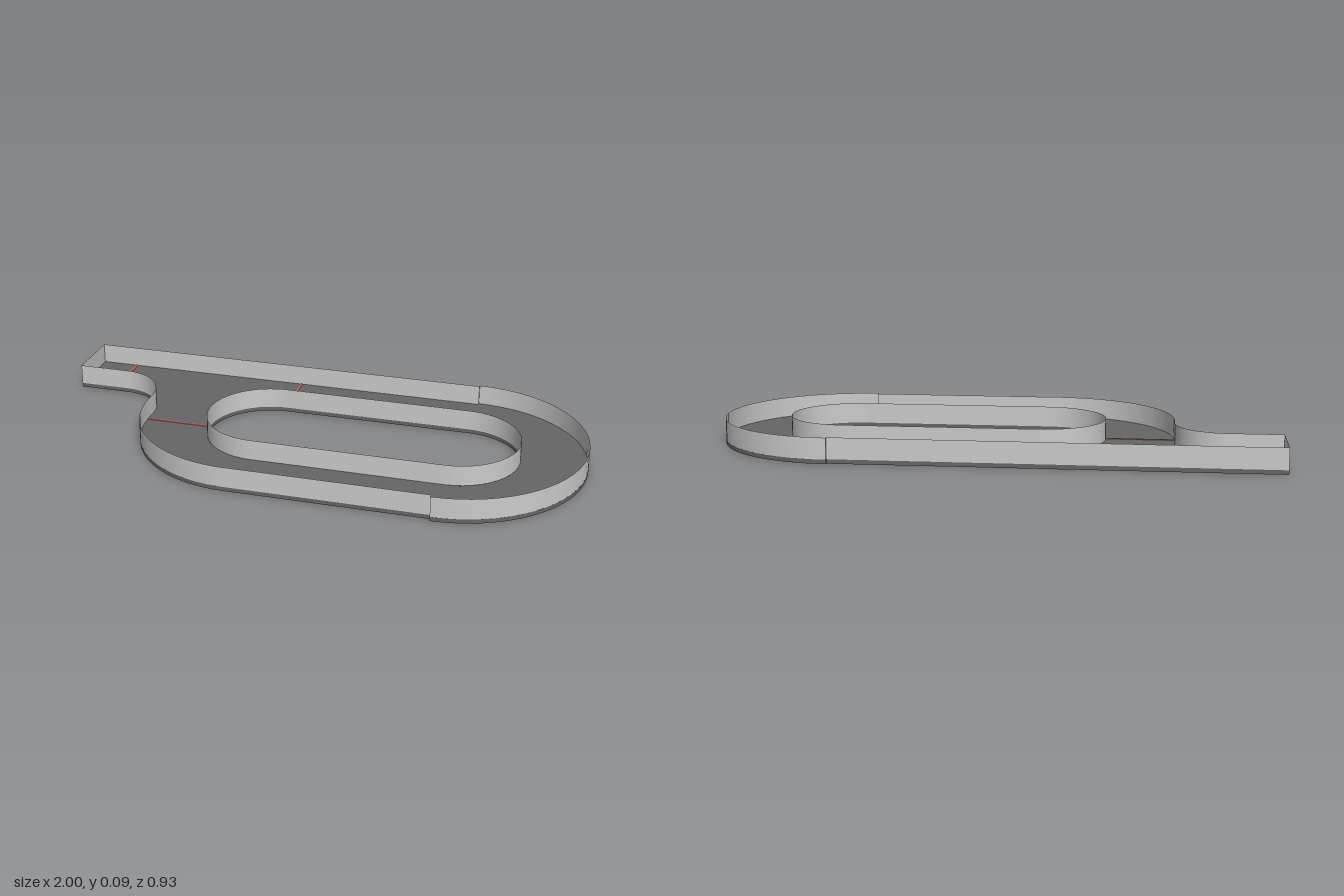
import * as THREE from 'three';
import { mergeGeometries, toCreasedNormals } from 'three/addons/utils/BufferGeometryUtils.js';

const FLOOR = 0.015, TOP = 0.09;

// Plan of the track, drawn as (x, z).
function outerPath() {
  const s = new THREE.Shape();
  s.moveTo(-1, -0.455);
  s.lineTo(0.535, -0.455);
  s.absarc(0.535, 0, 0.463, -Math.PI / 2, Math.PI / 2, false);
  s.lineTo(0.535, 0.45);
  s.lineTo(-0.18, 0.45);
  s.absarc(-0.18, 0, 0.45, Math.PI / 2, Math.PI, false);
  s.lineTo(-0.63, -0.05);
  s.absarc(-0.81, -0.05, 0.18, 0, -Math.PI / 2, true);
  s.lineTo(-1, -0.23);
  s.closePath();
  return s;
}

function innerPath() {
  const p = new THREE.Path();
  p.absarc(0.535, 0, 0.227, -Math.PI / 2, Math.PI / 2, false);
  p.absarc(-0.158, 0, 0.227, Math.PI / 2, Math.PI * 1.5, false);
  p.closePath();
  return p;
}

// Thin upright wall following a path, smooth along each curve.
function wallGeometry(path) {
  const strips = path.curves.filter((c) => c.getLength() > 1e-4).map((curve) => {
    const n = curve.isLineCurve ? 1 : 32;
    const strip = new THREE.PlaneGeometry(1, 1, n, 1);
    const pos = strip.attributes.position;
    for (let i = 0; i <= n; i++) {
      const p = curve.getPoint(i / n);
      pos.setXYZ(i, p.x, TOP, p.y);
      pos.setXYZ(i + n + 1, p.x, FLOOR, p.y);
    }
    strip.computeVertexNormals();
    return strip;
  });
  return mergeGeometries(strips);
}

export function createModel() {
  const group = new THREE.Group();
  const add = (name, geometry, color, side = THREE.FrontSide) => {
    const mesh = new THREE.Mesh(geometry, new THREE.MeshStandardMaterial({ color, side }));
    mesh.name = name;
    group.add(mesh);
    return mesh;
  };

  // Dark floor slab with the infield cut out
  const outer = outerPath(), inner = innerPath();
  outer.holes.push(inner);
  const slab = new THREE.ExtrudeGeometry(outer, { depth: FLOOR, bevelEnabled: false, curveSegments: 32 });
  slab.rotateX(Math.PI / 2).translate(0, FLOOR, 0);
  add('trackFloor', toCreasedNormals(slab, 0.5), 0x666666);

  // Boundary walls
  add('outerWall', wallGeometry(outer), 0xcccccc, THREE.DoubleSide);
  add('innerWall', wallGeometry(inner), 0xcccccc, THREE.DoubleSide);

  // Red lines painted across the lane: x, z, width, depth
  [
    [-0.86, -0.342, 0.007, 0.225],
    [-0.166, -0.342, 0.007, 0.225],
    [-0.507, 0.01, 0.244, 0.007],
  ].forEach(([x, z, w, d], i) => {
    add(`laneLine${i + 1}`, new THREE.BoxGeometry(w, 0.002, d), 0xe0645c).position.set(x, FLOOR + 0.001, z);
  });
  return group;
}
